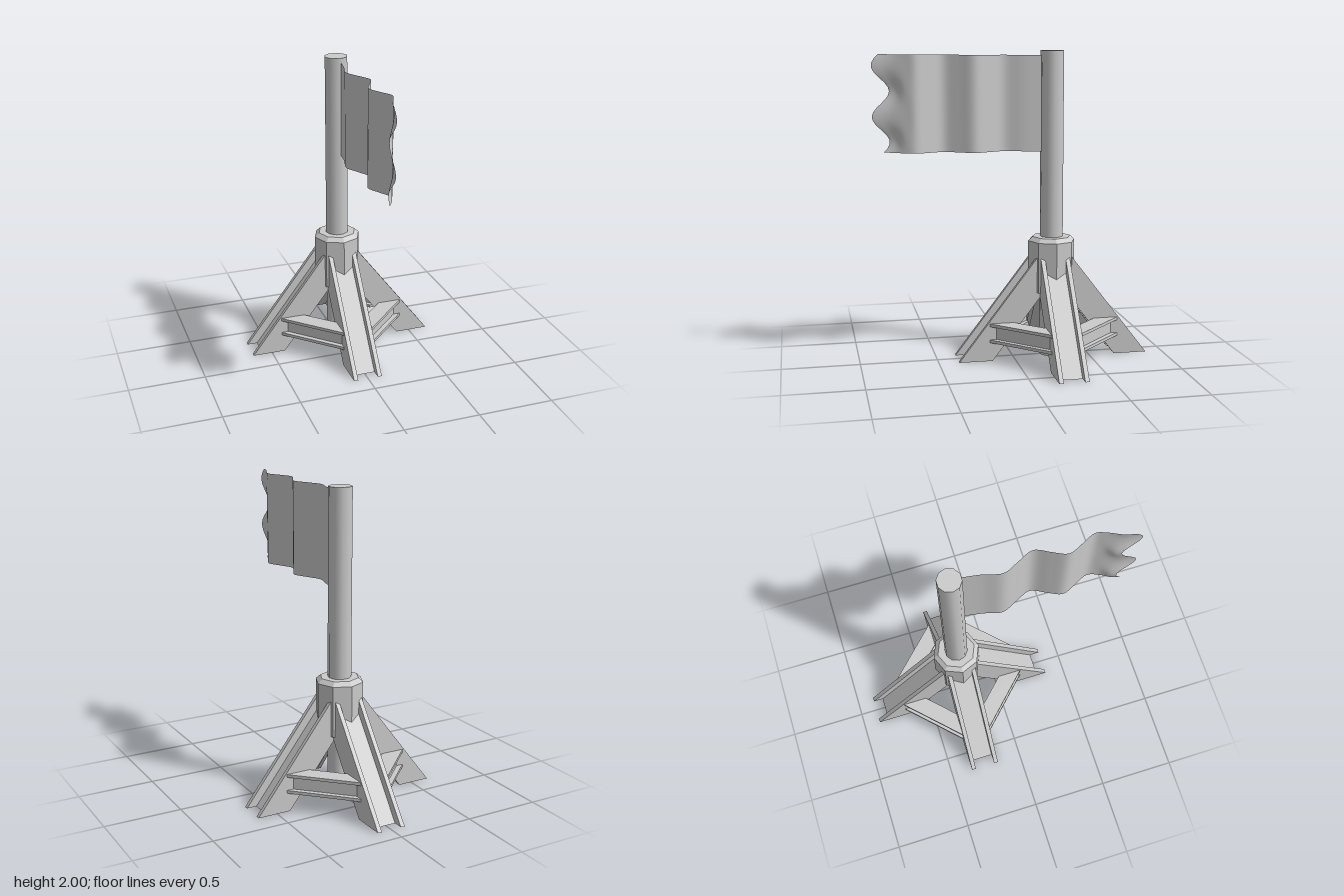
import * as THREE from 'three';

const GREY = 0xcccccc;
const flat = new THREE.MeshStandardMaterial({ color: GREY, flatShading: true });
const smooth = new THREE.MeshStandardMaterial({ color: GREY });
const cloth = new THREE.MeshStandardMaterial({ color: GREY, side: THREE.DoubleSide });

const SLOPE = 1.305;   // rise over run of the legs
const INNER = 0.07;    // legs end here, inside the collar
const AXIS_Z = -0.26;  // pole position

function add(parent, name, geometry, material) {
  const mesh = new THREE.Mesh(geometry, material);
  mesh.name = name;
  parent.add(mesh);
  return mesh;
}

// Straight prism of a polygon in XY, from z = 0 to depth
function prism(points, depth) {
  const shape = new THREE.Shape(points.map(([x, y]) => new THREE.Vector2(x, y)));
  return new THREE.ExtrudeGeometry(shape, { depth, bevelEnabled: false });
}

// Sloping plate of a leg, between two foot positions on the ground
function legPlate(near, far, z0, z1) {
  return prism([
    [near, 0], [far, 0],
    [INNER, (far - INNER) * SLOPE], [INNER, (near - INNER) * SLOPE],
  ], z1 - z0).translate(0, 0, z0);
}

// Horizontal plate running diagonally between two legs (x + z from a to b)
function bracePlate(a, b, y0, y1) {
  const e = 0.09;
  return prism([[a - e, e], [b - e, e], [e, b - e], [e, a - e]], y1 - y0)
    .rotateX(-Math.PI / 2).translate(0, y0, 0);
}

// Rippled cloth with a wavy free edge
function flagGeometry() {
  const cols = 48, rows = 24;
  const geometry = new THREE.PlaneGeometry(1, 1, cols, rows);
  const pos = geometry.attributes.position;
  for (let r = 0; r <= rows; r++) {
    const v = r / rows;
    const y = 1.97 - 0.615 * v;
    const end = 0.835 + 0.055 * Math.cos((y - 1.9) / 0.32 * Math.PI * 2);
    const curve = new THREE.CatmullRomCurve3([
      [0.01, -0.2], [-0.01, -0.07], [-0.038, 0.05], [0.005, 0.15], [0.046, 0.25],
      [0, 0.35], [-0.036, 0.44], [0, 0.53], [0.04, 0.62], [0.02, 0.69],
      [-0.02, 0.69 + (end - 0.69) * 0.55], [-0.038, end],
    ].map(([x, z]) => new THREE.Vector3(x, y, z)));
    for (let c = 0; c <= cols; c++) {
      const u = c / cols;
      const p = curve.getPoint(u);
      pos.setXYZ(r * (cols + 1) + c, p.x, y + 0.01 * u, p.z);
    }
  }
  geometry.computeVertexNormals();
  return geometry;
}

export function createModel() {
  const model = new THREE.Group();
  model.name = 'flagOnStand';

  const stand = new THREE.Group();
  stand.name = 'stand';
  stand.position.z = AXIS_Z;
  model.add(stand);

  // Pole, reaching the ground
  const pole = new THREE.CylinderGeometry(0.075, 0.075, 2, 10);
  add(stand, 'pole', pole.rotateY(Math.PI / 2).translate(0, 1, 0), smooth);

  // Eight-sided collar with a bevelled rim
  const profile = [[0, 0.44], [0.155, 0.44], [0.155, 0.77], [0.125, 0.797], [0, 0.797]];
  add(stand, 'collar',
    new THREE.LatheGeometry(profile.map(([x, y]) => new THREE.Vector2(x, y)), 8), flat);

  // Four I-beam legs, each with a brace to the next leg
  for (let i = 0; i < 4; i++) {
    const leg = new THREE.Group();
    leg.name = 'leg' + (i + 1);
    leg.rotation.y = i * Math.PI / 2;
    stand.add(leg);
    add(leg, 'legFlangeA', legPlate(0.41, 0.63, 0.068, 0.096), flat);
    add(leg, 'legFlangeB', legPlate(0.41, 0.63, -0.096, -0.068), flat);
    add(leg, 'legWeb', legPlate(0.475, 0.565, -0.07, 0.07), flat);

    const brace = new THREE.Group();
    brace.name = 'brace' + (i + 1);
    brace.rotation.y = i * Math.PI / 2;
    stand.add(brace);
    add(brace, 'braceTop', bracePlate(0.365, 0.525, 0.23, 0.25), flat);
    add(brace, 'braceBottom', bracePlate(0.365, 0.525, 0.123, 0.143), flat);
    add(brace, 'braceWeb', bracePlate(0.41, 0.48, 0.14, 0.233), flat);
  }

  add(model, 'flag', flagGeometry(), cloth);
  return model;
}
